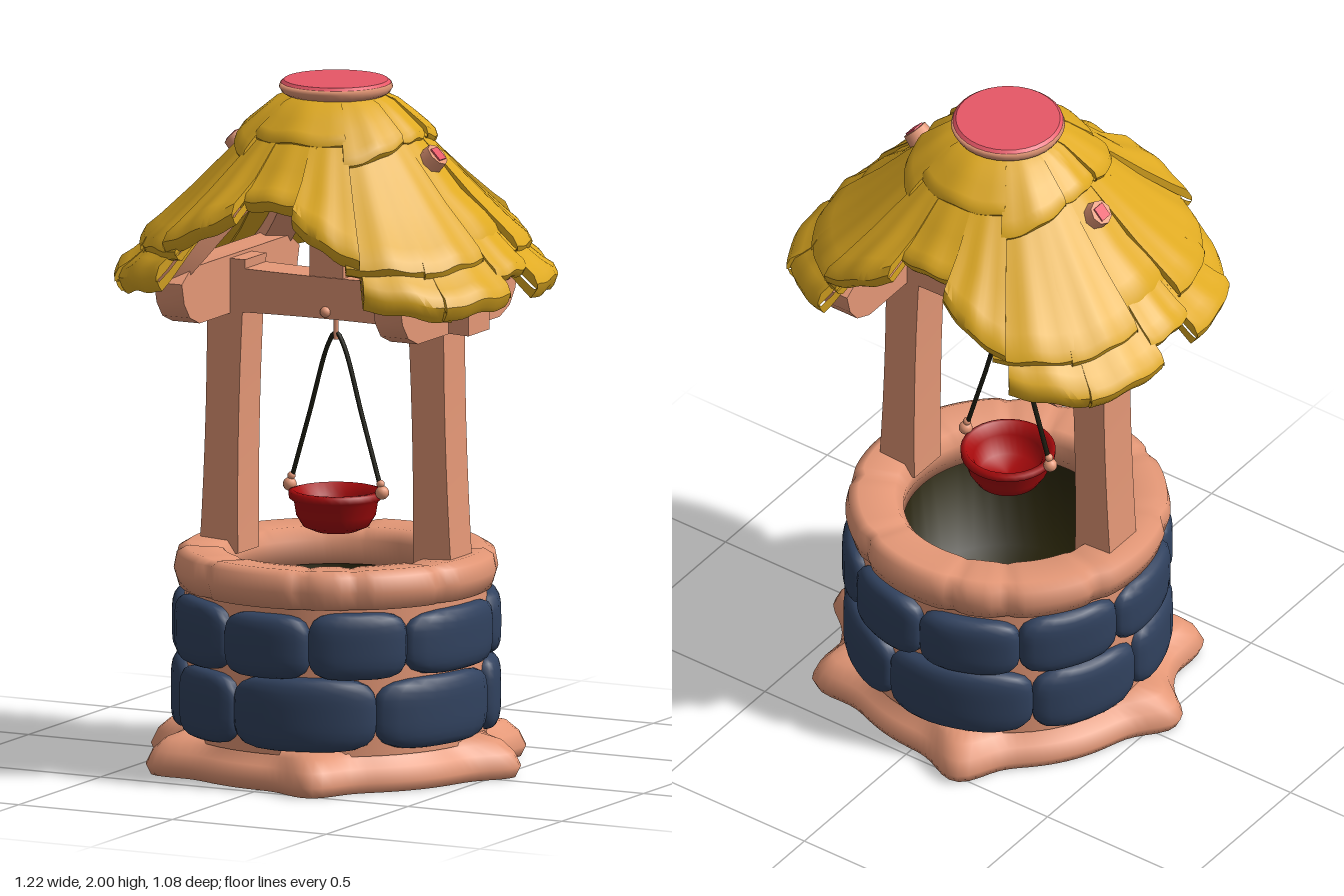
import * as THREE from 'three';
import { toCreasedNormals } from 'three/addons/utils/BufferGeometryUtils.js';

const paint = (name, color) => Object.assign(new THREE.MeshStandardMaterial({ color }), { name });
const MAT = {
  wood: paint('salmon wood', 0xe59877),
  thatch: paint('golden thatch', 0xdfaa22),
  stone: paint('slate blue stone', 0x31425f),
  red: paint('bucket red', 0xa80a0c),
  pink: paint('cut wood pink', 0xea5868),
  dark: paint('dark well', 0x262208),
  rope: paint('dark rope', 0x1c1c10),
};
const rad = THREE.MathUtils.degToRad;
const polar = (a, r, y) => [Math.cos(a) * r, y, Math.sin(a) * r];
const v2 = (list) => list.map(([x, y]) => new THREE.Vector2(x, y));

// Skins cross-section loops: fn(i) gives the loop of points for section i
function loft(sections, wrap, fn) {
  const pos = [], index = [];
  let n = 0;
  for (let i = 0; i < sections; i++) {
    const loop = fn(i);
    n = loop.length;
    loop.forEach((p) => pos.push(...p));
  }
  for (let i = 0; i < (wrap ? sections : sections - 1); i++) {
    for (let k = 0; k < n; k++) {
      const j = (i + 1) % sections, l = (k + 1) % n;
      const a = i * n + k, b = j * n + k, c = j * n + l, d = i * n + l;
      index.push(a, b, d, b, c, d);
    }
  }
  const g = new THREE.BufferGeometry();
  g.setAttribute('position', new THREE.Float32BufferAttribute(pos, 3));
  g.setIndex(index);
  g.computeVertexNormals();
  return g;
}

// Moves every vertex of a geometry by a rule
function bend(g, rule) {
  const p = g.attributes.position, v = new THREE.Vector3();
  for (let i = 0; i < p.count; i++) {
    rule(v.fromBufferAttribute(p, i));
    p.setXYZ(i, v.x, v.y, v.z);
  }
  g.computeVertexNormals();
  return g;
}

// Puffy block wrapped around the wall
function stone(a0, a1, y0, y1) {
  const mid = rad((a0 + a1) / 2), half = rad((a1 - a0) / 2 + 0.3);
  const h = (y1 - y0) / 2;
  return bend(new THREE.SphereGeometry(1, 28, 18), (v) => {
    v.divideScalar((v.x ** 4 + v.y ** 4 + v.z ** 4) ** 0.25);
    const a = mid - v.x * half;
    const r = 0.417 + 0.055 * v.z + 0.014 * Math.sin(a) ** 2;
    v.set(...polar(a, r, (y0 + y1) / 2 + v.y * h));
  });
}

// Height of the thatch above the ground at a given radius
const SLOPE = [[0.1, 1.98], [0.16, 1.95], [0.26, 1.84], [0.37, 1.69], [0.45, 1.615], [0.52, 1.53], [0.61, 1.45], [0.7, 1.41]];
function roofY(r) {
  const i = Math.max(1, SLOPE.findIndex((s) => s[0] >= r));
  const [r0, y0] = SLOPE[i - 1], [r1, y1] = SLOPE[i];
  return y0 + ((r - r0) / (r1 - r0)) * (y1 - y0);
}

// One thick, pleated bundle of thatch between two angles, lifting towards its rounded hem
function flap(a0, a1, rTop, r0, r1, lift, thick) {
  const cols = 12;
  const g = loft(cols + 3, false, (i) => {
    const u = THREE.MathUtils.clamp((i - 1) / cols, 0, 1);
    const end = i === 0 || i === cols + 2;
    const a = rad(a0 + (a1 - a0) * u);
    const rBot = r0 + (r1 - r0) * u + 0.006 * Math.sin(Math.PI * u);
    const pleat = 0.012 * Math.sin(Math.PI * u) + 0.004 * Math.cos(u * Math.PI * 4);
    const rows = [0, 0.3, 0.6, 0.85, 0.96, 1].map((t) => {
      const r = rTop + (rBot - rTop) * t;
      const y = roofY(r) + (lift + pleat) * t, d = thick * (0.5 + 0.5 * t);
      const drop = t === 1 ? 0.3 * d : 0;
      return { r, top: y - drop, low: y - d + drop };
    });
    const at = (r, y, m) => polar(a, r, end ? m : y);
    return [
      ...rows.map((q) => at(q.r, q.top, (q.top + q.low) / 2)),
      ...rows.reverse().map((q) => at(q.r - 0.01, q.low, (q.top + q.low) / 2)),
    ];
  });
  return toCreasedNormals(g, 0.7);
}

export function createModel() {
  const model = new THREE.Group();
  const add = (name, geometry, material, x = 0, y = 0, z = 0) => {
    const m = new THREE.Mesh(geometry, material);
    m.name = name;
    m.position.set(x, y, z);
    model.add(m);
    return m;
  };
  const near = (a, list, width) => list.reduce((s, deg) => {
    const d = Math.atan2(Math.sin(a - rad(deg)), Math.cos(a - rad(deg)));
    return s + Math.exp(-((d / width) ** 2));
  }, 0);

  // Lumpy foot of the well
  add('base', loft(120, true, (i) => {
    const a = (i / 120) * Math.PI * 2;
    const lump = near(a, [-6, 70, 135, 174, 250, 315], 0.17);
    const R = 0.485 + 0.085 * lump;
    return [[0.33, 0.1], [0.43, 0.12], [R - 0.06, 0.092 + 0.012 * lump], [R - 0.02, 0.07], [R, 0.03], [R - 0.015, 0], [0.33, 0]]
      .map(([r, y]) => polar(a, r, y));
  }), MAT.wood);
  add('underside', new THREE.LatheGeometry(v2([[0, 0.17], [0.15, 0.165], [0.27, 0.12], [0.33, 0]]), 40), MAT.wood);

  // Wall core with two courses of stones
  add('wallCore', new THREE.CylinderGeometry(0.435, 0.435, 0.46, 48, 1, true), MAT.wood, 0, 0.33, 0);
  const courses = [
    { y0: 0.115, y1: 0.33, cuts: [-12, 47, 102, 138, 180, 225, 282, 327, 348] },
    { y0: 0.325, y1: 0.52, cuts: [-19, 35, 72, 106, 146, 190, 230, 268, 304, 341] },
  ];
  for (const { y0, y1, cuts } of courses) {
    for (let i = 1; i < cuts.length; i++) {
      add('wallStone', stone(cuts[i - 1], cuts[i], y0, y1 - 0.008 * (i % 2)), MAT.stone);
    }
  }
  add('wellInside', new THREE.LatheGeometry(v2([[0.315, 0.6], [0.315, 0.2], [0, 0.2]]), 40), MAT.dark);

  // Rim with shallow joints
  add('rim', loft(120, true, (i) => {
    const a = (i / 120) * Math.PI * 2;
    const dent = 0.014 * near(a, [20, 55, 75, 118, 155, 200, 235, 255, 298, 335], 0.05);
    return [[0.3, 0.6], [0.325, 0.636 - dent / 2], [0.43, 0.642 - dent / 2], [0.458, 0.625], [0.467, 0.58], [0.452, 0.53], [0.3, 0.53]]
      .map(([r, y], k) => polar(a, k > 1 && k < 6 ? r - dent : r, y));
  }), MAT.wood);

  // Posts, side beams and rafters, one set for each half
  const sideShape = new THREE.Shape(v2([[-0.25, 1.3], [0.25, 1.3], [0.31, 1.325], [0.345, 1.37], [0.36, 1.43], [0.3, 1.47], [-0.3, 1.47], [-0.36, 1.43], [-0.345, 1.37], [-0.31, 1.325]]));
  for (const s of [1, -1]) {
    add('post', toCreasedNormals(bend(new THREE.BoxGeometry(0.125, 0.86, 0.13, 1, 8, 1), (v) => {
      const t = v.y / 0.43;
      v.x = v.x * (0.86 + 0.14 * t * t) - s * 0.012 * t;
    }), 0.6), MAT.wood, s * 0.335, 1.03, 0);
    const side = new THREE.ExtrudeGeometry(sideShape, { depth: 0.09, bevelEnabled: false });
    side.translate(0, 0, -0.045).rotateY(Math.PI / 2);
    add('sideBeam', toCreasedNormals(side, 0.7), MAT.wood, s * 0.355, 0, 0);
    for (const f of [1, -1]) {
      const path = new THREE.CatmullRomCurve3([[0.41, 1.42, 0.33], [0.34, 1.5, 0.3], [0.23, 1.65, 0.22], [0.05, 1.86, 0.06]]
        .map(([x, y, z]) => new THREE.Vector3(s * x, y, f * z)));
      add('rafter', toCreasedNormals(new THREE.TubeGeometry(path, 12, 0.055, 4), 0.6), MAT.wood);
    }
    // Ridge pole end with its cut face
    const peg = add('ridgeEnd', new THREE.CylinderGeometry(0.037, 0.045, 0.08, 8), MAT.wood, s * 0.302, 1.78, 0);
    peg.rotation.z = -s * 0.8;
    const cut = add('ridgeCut', new THREE.BoxGeometry(0.042, 0.009, 0.038), MAT.pink, s * 0.331, 1.808, 0);
    cut.rotation.z = -s * 0.8;
  }
  add('crossBeam', toCreasedNormals(bend(new THREE.BoxGeometry(0.93, 0.14, 0.13, 10, 1, 1), (v) => {
    v.y *= 0.86 + 0.16 * (v.x / 0.465) ** 2;
  }), 0.6), MAT.wood, 0, 1.37, 0);
  add('kingPost', new THREE.BoxGeometry(0.11, 0.54, 0.12), MAT.wood, 0, 1.68, 0);
  add('ridgePole', new THREE.BoxGeometry(0.56, 0.07, 0.08), MAT.wood, 0, 1.77, 0);

  // Thatch flaps per quarter: angles, top radius, hem radii, lift, thickness
  const quarter = [
    [29, 54, 0.34, 0.63, 0.575, 0.005, 0.075],
    [7.5, 32, 0.34, 0.617, 0.638, 0.01, 0.07],
    [55, 78, 0.2, 0.56, 0.465, 0.09, 0.065],
    [33, 59, 0.2, 0.56, 0.54, 0.045, 0.055],
    [11, 35, 0.2, 0.545, 0.565, 0.045, 0.055],
    [16, 58, 0.13, 0.27, 0.31, 0.035, 0.045],
  ];
  for (const [a0, a1, rt, r0, r1, lift, th] of quarter) {
    for (const t of [0, 180]) {
      add('thatchFlap', flap(a0 + t, a1 + t, rt, r0, r1, lift, th), MAT.thatch);
      add('thatchFlap', flap(t - a1, t - a0, rt, r1, r0, lift, th), MAT.thatch);
    }
  }
  // Flaps centred on the four sides
  const centred = [
    [0, 9, 0.34, 0.58, 0.02, 0.045],
    [0, 14, 0.2, 0.49, 0.02, 0.05],
    [0, 18, 0.13, 0.26, 0.015, 0.04],
    [90, 16, 0.2, 0.408, 0.06, 0.055],
    [90, 34, 0.13, 0.265, 0.03, 0.045],
  ];
  for (const [mid, half, rt, r, lift, th] of centred) {
    for (const t of [mid, mid + 180]) {
      add('thatchFlap', flap(t - half, t + half, rt, r, r, lift, th), MAT.thatch);
    }
  }

  // Roof cap
  add('capRim', new THREE.LatheGeometry(v2([[0, 1.94], [0.13, 1.95], [0.156, 1.965], [0.164, 1.98], [0.16, 1.992], [0, 1.992]]), 32), MAT.wood);
  add('capTop', new THREE.CylinderGeometry(0.15, 0.16, 0.009, 32), MAT.pink, 0, 1.9955, 0);

  // Hook, ropes and bucket
  add('hook', new THREE.CylinderGeometry(0.008, 0.008, 0.09, 10), MAT.wood, 0, 1.285, 0);
  add('hookKnob', new THREE.SphereGeometry(0.016, 12, 8), MAT.wood, 0, 1.33, 0.065);
  const ropePath = new THREE.CatmullRomCurve3([[-0.145, 0.82], [-0.085, 1.0225], [-0.025, 1.225], [0, 1.262], [0.025, 1.225], [0.085, 1.0225], [0.145, 0.82]]
    .map(([x, y]) => new THREE.Vector3(x, y, 0)));
  add('rope', new THREE.TubeGeometry(ropePath, 60, 0.007, 8), MAT.rope);
  add('bucket', new THREE.LatheGeometry(v2([[0, 0.68], [0.06, 0.682], [0.095, 0.697], [0.115, 0.73], [0.121, 0.768], [0.136, 0.78], [0.137, 0.798], [0.122, 0.802], [0.1, 0.77], [0.08, 0.715], [0, 0.705]]), 32), MAT.red);
  for (const s of [1, -1]) {
    add('bucketKnob', new THREE.SphereGeometry(0.02, 14, 10), MAT.wood, s * 0.15, 0.805, 0);
    add('knobTip', new THREE.SphereGeometry(0.012, 12, 8), MAT.wood, s * 0.145, 0.83, 0);
  }
  return model;
}
